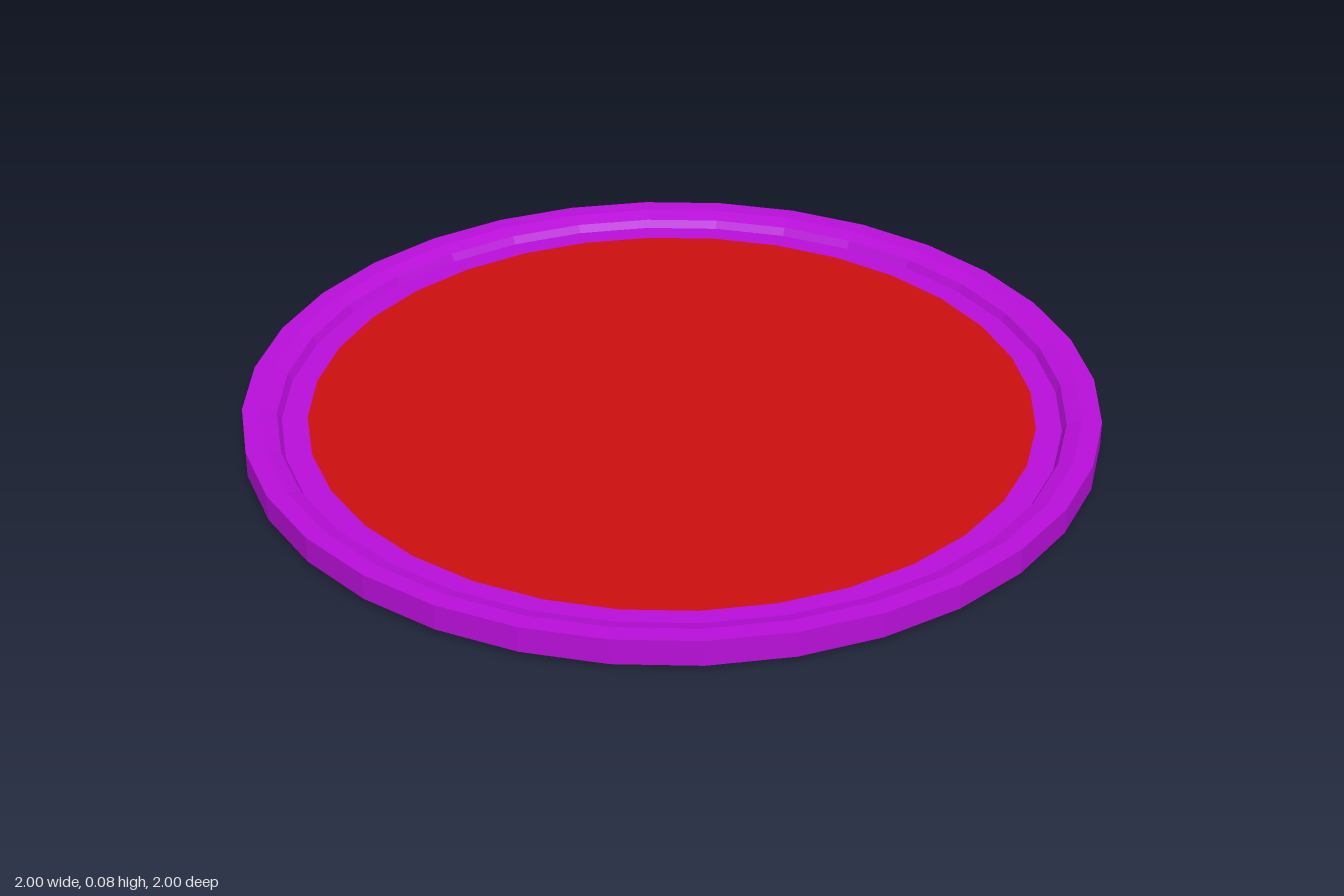
import * as THREE from 'three';

const SIDES = 32;

export function createModel() {
  const model = new THREE.Group();
  model.name = 'plate';

  const purple = new THREE.MeshStandardMaterial({ color: 0xb80fd8, flatShading: true });
  const red = new THREE.MeshStandardMaterial({ color: 0xcc0f0f, flatShading: true });

  // Plate body: foot, outer wall, bevelled lip and recessed floor
  const profile = [
    [0, 0], [0.9, 0], [0.9, 0.013],
    [1, 0.013], [1, 0.075],
    [0.955, 0.075], [0.92, 0.064], [0.91, 0.045],
    [0.85, 0.045], [0, 0.045],
  ].map(([r, y]) => new THREE.Vector2(r, y));
  const body = new THREE.Mesh(new THREE.LatheGeometry(profile, SIDES), purple);
  body.name = 'plateBody';
  model.add(body);

  // Coloured inlay lying on the floor
  const inlay = new THREE.Mesh(new THREE.CircleGeometry(0.85, SIDES), red);
  inlay.name = 'inlay';
  inlay.rotation.x = -Math.PI / 2;
  inlay.position.y = 0.047;
  model.add(inlay);

  return model;
}
